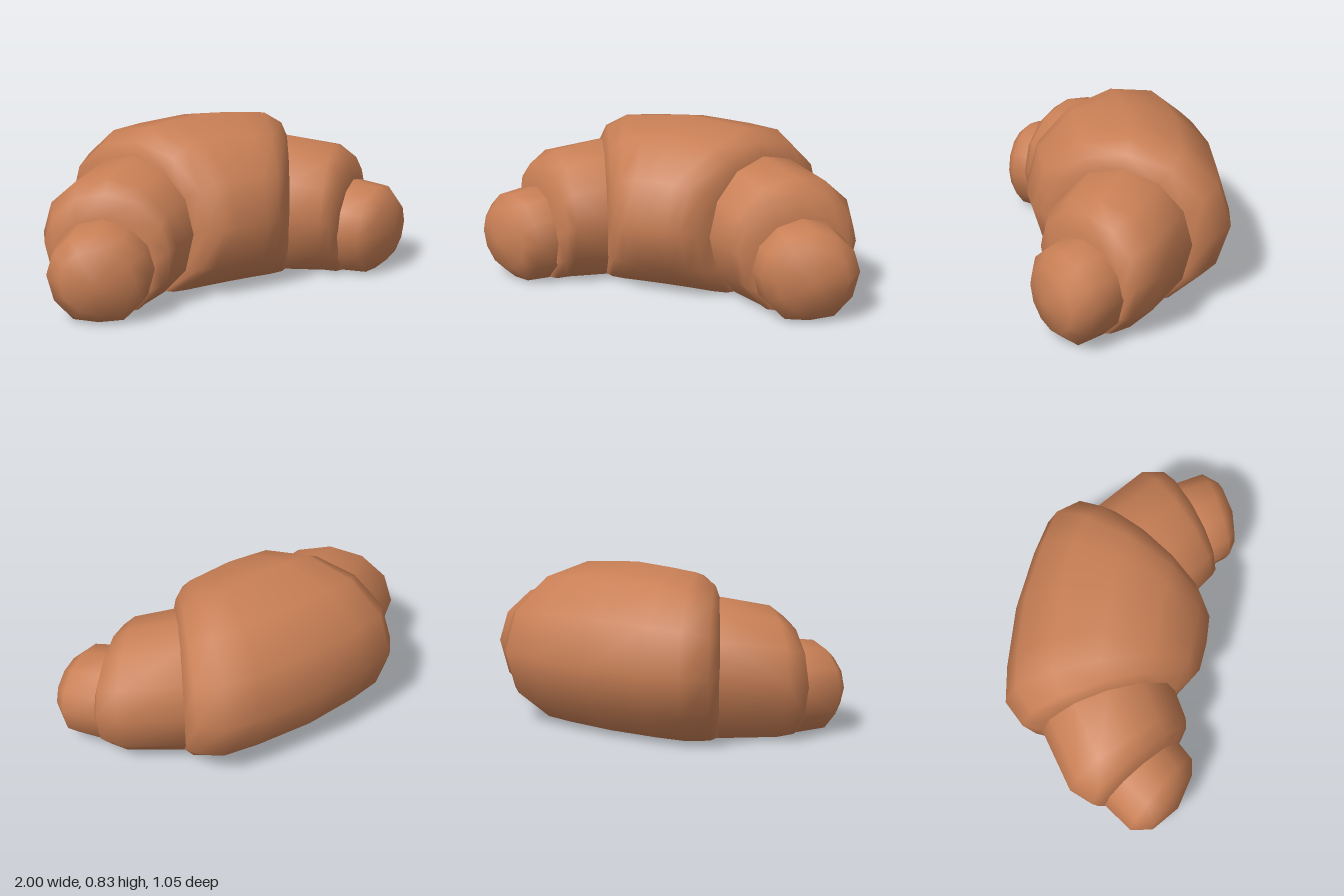
import * as THREE from 'three';

const SIDES = 12;

// Ring: [backX, backZ, frontX, frontZ, centreY, radiusUp, radiusDown]
// Skins the rings in order, closing both ends with a pole point.
function puff(rings, startPole, endPole, material, name, flip = false) {
  const pos = [], idx = [];
  const tri = (a, b, c) => (flip ? idx.push(a, c, b) : idx.push(a, b, c));
  for (const [bx, bz, fx, fz, cy, up, down] of rings) {
    for (let j = 0; j < SIDES; j++) {
      const a = (j / SIDES) * Math.PI * 2;
      const s = Math.sin(a) / 2, c = Math.cos(a);
      const y = cy + c * (c > 0 ? up : down);
      // the underside rests flat, sagging only a touch in the middle
      const floor = j === SIDES / 2 ? 0 : 0.008;
      pos.push((bx + fx) / 2 + (fx - bx) * s, Math.max(floor, y), (bz + fz) / 2 + (fz - bz) * s);
    }
  }
  const n = rings.length;
  const at = (i, j) => i * SIDES + (j % SIDES);
  const p0 = n * SIDES, p1 = p0 + 1;
  pos.push(...startPole, ...endPole);
  for (let j = 0; j < SIDES; j++) {
    for (let i = 0; i < n - 1; i++) {
      tri(at(i, j), at(i, j + 1), at(i + 1, j));
      tri(at(i, j + 1), at(i + 1, j + 1), at(i + 1, j));
    }
    tri(p0, at(0, j + 1), at(0, j));
    tri(at(n - 1, j), at(n - 1, j + 1), p1);
  }
  const geo = new THREE.BufferGeometry();
  geo.setAttribute('position', new THREE.Float32BufferAttribute(pos, 3));
  geo.setIndex(idx);
  geo.computeVertexNormals();
  const mesh = new THREE.Mesh(geo, material);
  mesh.name = name;
  return mesh;
}

const mirrorRing = ([bx, bz, fx, fz, ...rest]) => [-bx, bz, -fx, fz, ...rest];

export function createModel() {
  const group = new THREE.Group();
  group.name = 'croissant';
  const crust = new THREE.MeshStandardMaterial({ color: 0xc87f55 });
  crust.name = 'baked crust';

  // Thick middle roll, a wedge fanned out toward the back
  const half = [
    [0.32, -0.505, 0.08, 0.47, 0.38, 0.44, 0.43],
    [0.51, -0.47, 0.15, 0.465, 0.38, 0.425, 0.43],
    [0.61, -0.36, 0.215, 0.42, 0.37, 0.38, 0.42],
    [0.612, -0.26, 0.27, 0.36, 0.36, 0.31, 0.4],
  ];
  const middle = [
    ...half.map(mirrorRing).reverse(),
    [0, -0.53, 0, 0.475, 0.38, 0.455, 0.43],
    ...half,
  ];
  group.add(puff(middle, [-0.46, 0.35, 0.06], [0.46, 0.35, 0.06], crust, 'middleRoll'));

  // Shoulder rolls, starting inside the middle roll
  const shoulder = [
    [0.50, -0.26, 0.21, 0.29, 0.34, 0.32, 0.38],
    [0.61, -0.26, 0.27, 0.36, 0.345, 0.34, 0.39],
    [0.88, -0.06, 0.40, 0.44, 0.33, 0.31, 0.37],
    [0.922, 0.06, 0.445, 0.452, 0.31, 0.27, 0.35],
    [0.90, 0.12, 0.51, 0.435, 0.27, 0.2, 0.3],
  ];
  // Tip rolls, starting inside the shoulders
  const tip = [
    [0.82, 0.08, 0.47, 0.36, 0.235, 0.21, 0.26],
    [0.90, 0.12, 0.515, 0.435, 0.235, 0.23, 0.262],
    [0.998, 0.27, 0.58, 0.51, 0.235, 0.21, 0.255],
    [0.975, 0.37, 0.66, 0.525, 0.225, 0.16, 0.165],
  ];
  for (const side of [1, -1]) {
    const place = (rings) => (side > 0 ? rings : rings.map(mirrorRing));
    const label = side > 0 ? 'left' : 'right';
    group.add(
      puff(place(shoulder), [side * 0.34, 0.34, 0.01], [side * 0.73, 0.25, 0.29], crust, label + 'ShoulderRoll', side < 0),
      puff(place(tip), [side * 0.64, 0.235, 0.21], [side * 0.84, 0.22, 0.485], crust, label + 'TipRoll', side < 0),
    );
  }
  return group;
}
